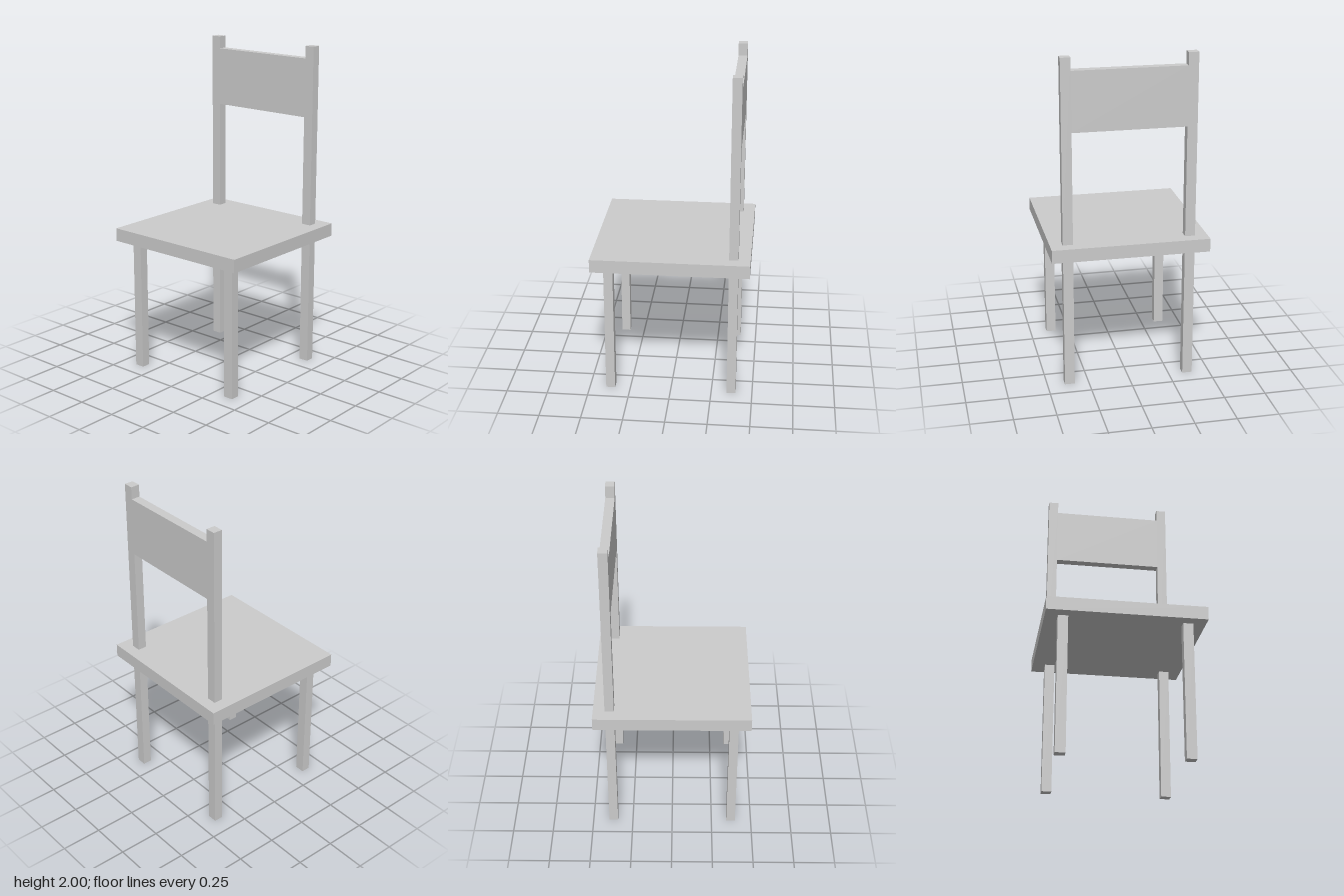
import * as THREE from 'three';

const SEAT = { size: 0.94, bottom: 0.82, top: 0.9 };
const LEG = { x: 0.372, z: 0.365, width: 0.055, depth: 0.06 };
const HEIGHT = 2;

export function createModel() {
  const chair = new THREE.Group();
  chair.name = 'chair';
  const material = new THREE.MeshStandardMaterial({ color: 0xcccccc, flatShading: true });

  // Box spanning bottom..top, centred on x, z
  const addBox = (name, width, depth, bottom, top, x = 0, z = 0) => {
    const mesh = new THREE.Mesh(new THREE.BoxGeometry(width, top - bottom, depth), material);
    mesh.name = name;
    mesh.position.set(x, (bottom + top) / 2, z);
    chair.add(mesh);
  };

  addBox('seat', SEAT.size, SEAT.size, SEAT.bottom, SEAT.top);

  // Short legs at -x; tall posts at +x carry the backrest
  for (const [side, s] of [['Left', 1], ['Right', -1]]) {
    addBox('shortLeg' + side, LEG.width, LEG.depth, 0, SEAT.bottom, -LEG.x, s * LEG.z);
    addBox('backLeg' + side, LEG.width, LEG.depth, 0, SEAT.bottom, LEG.x, s * LEG.z);
    addBox('backPost' + side, LEG.width, LEG.depth, SEAT.top, HEIGHT, LEG.x, s * LEG.z);
  }

  // Panel fitted flush between the posts
  addBox('backrestPanel', LEG.width, 2 * LEG.z - LEG.depth, 1.57, 1.925, LEG.x);

  return chair;
}
